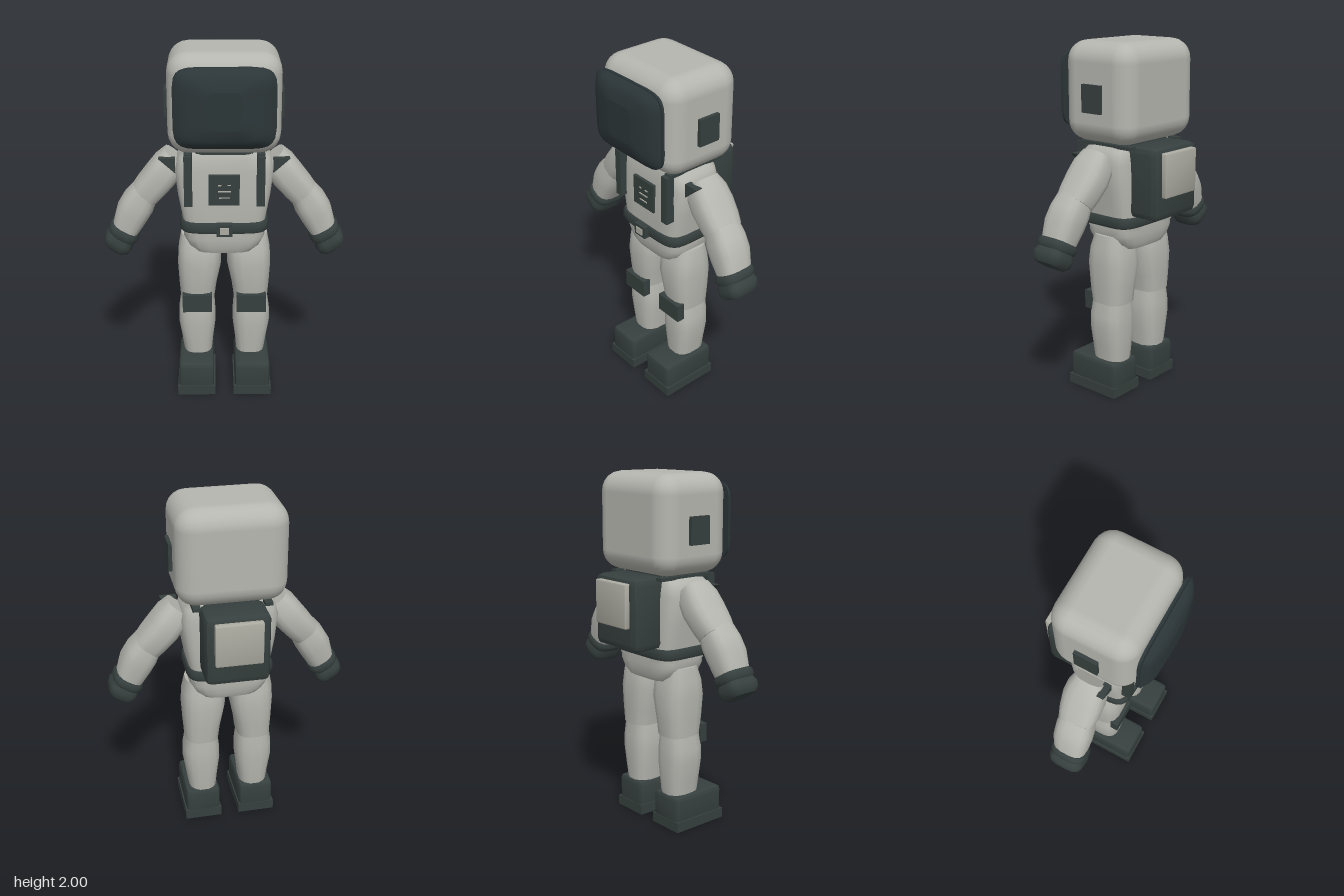
import * as THREE from 'three';
import { toCreasedNormals } from 'three/addons/utils/BufferGeometryUtils.js';
import { RoundedBoxGeometry } from 'three/addons/geometries/RoundedBoxGeometry.js';

const material = (name, color) => {
  const m = new THREE.MeshStandardMaterial({ color });
  m.name = name;
  return m;
};

// Skin over rounded sections listed from top to bottom: [x, y, z, halfWidth, halfDepth, tilt]
function loft(sections, power = 2.8, n = 16) {
  const pos = [], idx = [];
  const ring = ([x, y, z, hu, hw, tilt = 0]) => {
    for (let j = 0; j < n; j++) {
      const t = (j + 0.5) / n * Math.PI * 2;
      const c = Math.cos(t), s = Math.sin(t);
      const u = Math.sign(c) * Math.abs(c) ** (2 / power) * hu;
      const w = Math.sign(s) * Math.abs(s) ** (2 / power) * hw;
      pos.push(x + u * Math.cos(tilt), y + u * Math.sin(tilt), z + w);
    }
  };
  sections.forEach(ring);
  for (let i = 0; i < sections.length - 1; i++)
    for (let j = 0; j < n; j++) {
      const k = (j + 1) % n, a = i * n + j, b = i * n + k;
      idx.push(a, b, b + n, a, b + n, a + n);
    }
  // flat end caps with their own corners
  [sections[0], sections[sections.length - 1]].forEach((sec, end) => {
    const start = pos.length / 3;
    ring(sec);
    pos.push(sec[0], sec[1], sec[2]);
    for (let j = 0; j < n; j++) {
      const k = (j + 1) % n;
      idx.push(start + n, start + (end ? j : k), start + (end ? k : j));
    }
  });
  const g = new THREE.BufferGeometry();
  g.setAttribute('position', new THREE.Float32BufferAttribute(pos, 3));
  g.setIndex(idx);
  g.computeVertexNormals();
  return g;
}

// Box given by its limits
function box(x0, x1, y0, y1, z0, z1) {
  return new THREE.BoxGeometry(x1 - x0, y1 - y0, z1 - z0)
    .translate((x0 + x1) / 2, (y0 + y1) / 2, (z0 + z1) / 2);
}

// Box with chamfered edges
function chamferBox(x0, x1, y0, y1, z0, z1, r) {
  const g = new RoundedBoxGeometry(x1 - x0, y1 - y0, z1 - z0, 1, r);
  return toCreasedNormals(g, 0.4).translate((x0 + x1) / 2, (y0 + y1) / 2, (z0 + z1) / 2);
}

// Mirror across x, with the faces turned back outward
function mirrored(source) {
  const g = source.index ? source.toNonIndexed() : source.clone();
  for (const key of ['position', 'normal']) {
    const a = g.attributes[key];
    for (let i = 0; i < a.count; i++) a.setX(i, -a.getX(i));
    for (let i = 0; i < a.count; i += 3) {
      const p = [a.getX(i + 1), a.getY(i + 1), a.getZ(i + 1)];
      a.setXYZ(i + 1, a.getX(i + 2), a.getY(i + 2), a.getZ(i + 2));
      a.setXYZ(i + 2, ...p);
    }
  }
  return g;
}

export function createModel() {
  const model = new THREE.Group();
  model.name = 'spacesuitFigure';
  const suit = material('suit grey', 0xb6b6b0);
  const dark = material('dark trim', 0x36403e);
  const glass = material('visor glass', 0x2c3638);
  const panel = material('pack panel', 0xacaca2);

  const add = (name, g, mat) => {
    const m = new THREE.Mesh(g, mat);
    m.name = name;
    model.add(m);
  };
  const pair = (name, g, mat) => {
    add(name + 'Left', g, mat);
    add(name + 'Right', mirrored(g), mat);
  };

  // Helmet
  add('helmet', new RoundedBoxGeometry(0.6, 0.54, 0.475, 3, 0.11).translate(0, 1.73, 0.018), suit);
  const visor = loft([
    [0, 0.343, 0, 0.09, 0.1], [0, 0.332, 0, 0.19, 0.16],
    [0, 0.312, 0, 0.235, 0.19], [0, 0.287, 0, 0.265, 0.213],
  ], 6, 24).rotateX(Math.PI / 2).translate(0, 1.733, 0);
  add('visor', visor, glass);
  const rim = loft([[0, 0.28, 0, 0.267, 0.213], [0, 0.266, 0, 0.267, 0.213]], 6, 24);
  add('visorRim', rim.rotateX(Math.PI / 2).translate(0, 1.733, 0), glass);
  pair('earPad', box(0.28, 0.32, 1.63, 1.78, -0.05, 0.08), dark);
  add('neckRing', loft([[0, 1.49, 0.015, 0.2, 0.15], [0, 1.445, 0.015, 0.2, 0.15]], 4), dark);

  // Torso, belt and hips
  add('torso', loft([
    [0, 1.455, 0.015, 0.2, 0.14], [0, 1.42, 0.015, 0.25, 0.155], [0, 1.35, 0.015, 0.272, 0.163],
    [0, 1.2, 0.015, 0.255, 0.168], [0, 1.06, 0.015, 0.23, 0.168], [0, 0.98, 0.015, 0.225, 0.16],
  ], 5, 24), suit);
  add('belt', loft([
    [0, 1.06, 0.018, 0.238, 0.175], [0, 1.045, 0.018, 0.246, 0.182],
    [0, 1.015, 0.018, 0.246, 0.182], [0, 1, 0.018, 0.238, 0.175],
  ], 5, 24), dark);
  add('buckle', box(-0.043, 0.043, 0.997, 1.067, 0.19, 0.228), dark);
  add('buckleFace', box(-0.025, 0.025, 1.013, 1.05, 0.226, 0.234), panel);
  add('hips', loft([
    [0, 1, 0.015, 0.225, 0.162], [0, 0.95, 0.015, 0.228, 0.162],
    [0, 0.9, 0.015, 0.2, 0.155], [0, 0.867, 0.015, 0.165, 0.14],
  ], 4, 20), suit);

  // Chest unit and straps
  add('chestUnit', box(-0.085, 0.082, 1.17, 1.34, 0.15, 0.195), dark);
  for (const [x, y, w] of [[-0.025, 1.285, 0.018], [0.025, 1.285, 0.018], [0, 1.25, 0.07], [0, 1.213, 0.06]])
    add('chestMark', box(x - w / 2, x + w / 2, y - 0.003, y + 0.003, 0.194, 0.199), panel);
  pair('frontStrap', box(0.173, 0.217, 1.17, 1.45, 0.165, 0.215), dark);
  pair('shoulderStrap', box(0.173, 0.217, 1.438, 1.457, -0.17, 0.19), dark);

  // Backpack
  add('backpack', chamferBox(-0.178, 0.178, 1.06, 1.457, -0.316, -0.1, 0.035), dark);
  add('backpackPanel', chamferBox(-0.13, 0.13, 1.19, 1.432, -0.345, -0.3, 0.008), panel);

  // Arms
  pair('upperArm', loft([
    [0.265, 1.395, 0.015, 0.076, 0.085, 0.68], [0.305, 1.345, 0.015, 0.09, 0.108, 0.68],
    [0.35, 1.285, 0.015, 0.092, 0.116, 0.68], [0.41, 1.215, 0.018, 0.088, 0.11, 0.68],
    [0.447, 1.17, 0.02, 0.083, 0.1, 0.68],
  ]), suit);
  pair('forearm', loft([
    [0.437, 1.19, 0.025, 0.08, 0.095, 0.66], [0.475, 1.13, 0.027, 0.094, 0.104, 0.6],
    [0.515, 1.065, 0.03, 0.094, 0.104, 0.56], [0.562, 0.96, 0.035, 0.074, 0.09, 0.52],
  ]), suit);
  pair('cuff', loft([
    [0.552, 0.982, 0.038, 0.08, 0.096, 0.53], [0.558, 0.968, 0.038, 0.09, 0.105, 0.53],
    [0.568, 0.947, 0.038, 0.09, 0.105, 0.53], [0.574, 0.933, 0.038, 0.08, 0.096, 0.53],
  ]), dark);
  pair('glove', loft([
    [0.572, 0.94, 0.04, 0.076, 0.09, 0.53], [0.59, 0.91, 0.04, 0.087, 0.103, 0.56],
    [0.607, 0.88, 0.04, 0.082, 0.098, 0.6], [0.62, 0.862, 0.04, 0.062, 0.078, 0.62],
  ], 3.4), dark);
  const flap = new THREE.Shape([[0.265, 1.33], [0.355, 1.412], [0.265, 1.412]].map(p => new THREE.Vector2(...p)));
  pair('shoulderFlap', new THREE.ExtrudeGeometry(flap, { depth: 0.04, bevelEnabled: false }).translate(0, 0, 0.09), dark);

  // Legs
  pair('thigh', loft([
    [0.135, 0.945, 0.015, 0.108, 0.095], [0.138, 0.86, 0.02, 0.122, 0.118],
    [0.14, 0.77, 0.02, 0.125, 0.13], [0.15, 0.64, 0.018, 0.108, 0.12], [0.153, 0.545, 0.015, 0.098, 0.11],
  ]), suit);
  pair('shin', loft([
    [0.155, 0.56, 0.017, 0.094, 0.103], [0.157, 0.47, 0.02, 0.106, 0.113],
    [0.157, 0.39, 0.02, 0.108, 0.114], [0.155, 0.28, 0.02, 0.092, 0.107], [0.153, 0.18, 0.02, 0.08, 0.098],
  ]), suit);
  pair('kneePad', box(0.07, 0.238, 0.49, 0.597, 0.105, 0.152), dark);

  // Boots
  pair('boot', chamferBox(0.06, 0.262, 0.02, 0.2, -0.09, 0.25, 0.022), dark);
  pair('sole', box(0.053, 0.27, 0, 0.058, -0.093, 0.255), dark);
  return model;
}
